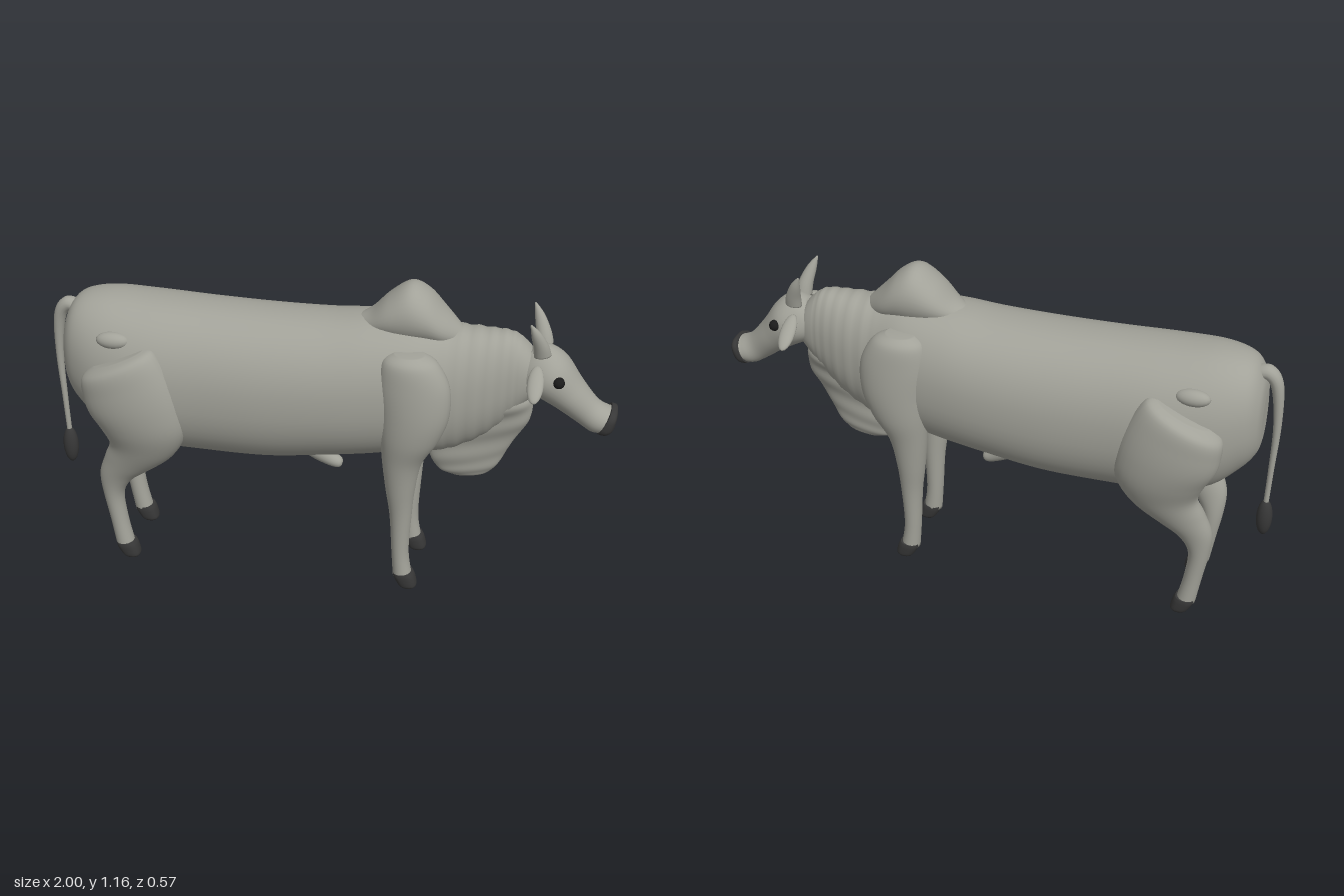
import * as THREE from 'three';

const hide = new THREE.MeshStandardMaterial({ color: 0xa2a299 });
hide.name = 'grey hide';
const dark = new THREE.MeshStandardMaterial({ color: 0x383838 });
dark.name = 'dark hoof and muzzle';
const black = new THREE.MeshStandardMaterial({ color: 0x1b1b1b });
black.name = 'black eye';

// Smooth loft through elliptical sections [x, y, z, halfWidth, halfHeight, tilt in degrees].
// The tilt is the heading in the xy plane; the width runs along z. zs = -1 mirrors.
function loft(sections, { zs = 1, sides = 32, steps = 6, power = 2, ripple = null } = {}) {
  const pos = [], index = [];
  const n = sections.length - 1;
  const at = (i) => sections[Math.max(0, Math.min(n, i))];
  const cr = (a, b, c, d, t) => b + 0.5 * t * (c - a + t * (2 * a - 5 * b + 4 * c - d + t * (3 * (b - c) + d - a)));
  const rows = n * steps;
  const shape = (v) => Math.sign(v) * Math.abs(v) ** (2 / power);
  const centres = [];
  for (let r = 0; r <= rows; r++) {
    const i = Math.min(n - 1, Math.floor(r / steps)), t = r / steps - i;
    const [x, y, z, w, h, tilt] = at(i).map((_, k) => cr(at(i - 1)[k], at(i)[k], at(i + 1)[k], at(i + 2)[k], t));
    const a = THREE.MathUtils.degToRad(tilt);
    centres.push([x, y, z * zs]);
    for (let j = 0; j < sides; j++) {
      const q = (j / sides) * Math.PI * 2;
      const k = ripple ? 1 + ripple(r / rows, q) : 1;
      const u = shape(Math.cos(q)) * w * k, v = shape(Math.sin(q)) * h * k;
      pos.push(x - Math.sin(a) * v, y + Math.cos(a) * v, z * zs + u);
    }
  }
  for (let r = 0; r < rows; r++) for (let j = 0; j < sides; j++) {
    const a = r * sides + j, b = r * sides + (j + 1) % sides;
    index.push(a, a + sides, b, b, a + sides, b + sides);
  }
  const s = pos.length / 3;
  pos.push(...centres[0], ...centres[rows]);
  for (let j = 0; j < sides; j++) {
    const k = (j + 1) % sides;
    index.push(s, j, k, s + 1, rows * sides + k, rows * sides + j);
  }
  const g = new THREE.BufferGeometry();
  g.setAttribute('position', new THREE.Float32BufferAttribute(pos, 3));
  g.setIndex(index);
  g.computeVertexNormals();
  return g;
}

export function createModel() {
  const model = new THREE.Group();
  model.name = 'humpedBull';
  const add = (name, geometry, material = hide) => {
    const m = new THREE.Mesh(geometry, material);
    m.name = name;
    model.add(m);
    return m;
  };

  // Barrel of the body running into the neck: x, top, bottom, half width
  const trunk = [
    [-0.937, 0.88, 0.7, 0.06], [-0.925, 0.95, 0.655, 0.105], [-0.88, 1.01, 0.595, 0.155],
    [-0.78, 1.033, 0.51, 0.2], [-0.62, 1.028, 0.468, 0.225], [-0.42, 1.02, 0.458, 0.225],
    [-0.2, 1.015, 0.46, 0.226], [0, 1.018, 0.485, 0.22], [0.15, 1.03, 0.505, 0.208],
    [0.3, 1.03, 0.53, 0.185], [0.42, 1.012, 0.54, 0.145], [0.54, 1.008, 0.6, 0.117],
    [0.63, 1.003, 0.68, 0.09], [0.68, 0.97, 0.74, 0.075], [0.72, 0.92, 0.79, 0.055],
  ];
  add('bodyAndNeck', loft(trunk.map(([x, t, b, w]) => [x, (t + b) / 2, 0, w, (t - b) / 2, 0]), {
    sides: 48, steps: 8, power: 2.2,
    ripple: (t) => (t > 0.72 && t < 0.9 ? 0.012 * Math.sin(t * 190) : 0),
  }));

  // Hump over the shoulders
  add('hump', loft([
    [0.1, 1.0, 0, 0.03, 0.02, 0], [0.15, 1.01, 0, 0.065, 0.04, 0], [0.21, 1.035, 0, 0.092, 0.077, 0],
    [0.28, 1.053, 0, 0.104, 0.106, 0], [0.34, 1.043, 0, 0.1, 0.092, 0], [0.4, 1.01, 0, 0.08, 0.062, 0],
    [0.47, 0.97, 0, 0.03, 0.03, 0],
  ]));

  // Loose folded skin under the throat and chest
  add('dewlap', loft([
    [0.58, 0.82, 0, 0.085, 0.09, -90], [0.575, 0.75, 0, 0.08, 0.135, -90], [0.54, 0.67, 0, 0.06, 0.163, -90],
    [0.497, 0.57, 0, 0.042, 0.15, -90], [0.488, 0.49, 0, 0.033, 0.122, -90],
    [0.483, 0.44, 0, 0.022, 0.085, -90], [0.478, 0.42, 0, 0.008, 0.03, -90],
  ], { sides: 48, steps: 8, ripple: (t, q) => 0.05 * Math.sin(t * 34 + 3 * Math.sin(q)) * Math.abs(Math.cos(q)) }));

  // Head tapering down to the muzzle
  add('head', loft([
    [0.665, 0.905, 0, 0.045, 0.06, -35], [0.7, 0.895, 0, 0.072, 0.09, -36], [0.76, 0.86, 0, 0.095, 0.088, -40],
    [0.83, 0.795, 0, 0.078, 0.066, -42], [0.895, 0.735, 0, 0.058, 0.054, -40],
    [0.94, 0.707, 0, 0.06, 0.054, -32], [0.968, 0.704, 0, 0.06, 0.049, -22],
  ]));
  add('muzzle', loft([
    [0.958, 0.706, 0, 0.062, 0.052, -24], [0.975, 0.703, 0, 0.063, 0.051, -20],
    [0.988, 0.702, 0, 0.056, 0.043, -16], [0.995, 0.702, 0, 0.042, 0.03, -12],
  ], { power: 2.8 }), dark);

  for (const zs of [1, -1]) {
    const side = zs > 0 ? 'right' : 'left';
    const opt = { zs };

    add(side + 'Horn', loft([
      [0.735, 0.95, 0.045, 0.026, 0.03, 100], [0.728, 0.99, 0.056, 0.024, 0.026, 100],
      [0.71, 1.04, 0.073, 0.016, 0.017, 112], [0.692, 1.08, 0.085, 0.003, 0.003, 118],
    ], { zs, sides: 16 }));

    // Flat drooping ear
    const ear = add(side + 'Ear', new THREE.SphereGeometry(1, 20, 12));
    ear.scale.set(0.028, 0.016, 0.072);
    ear.position.set(0.722, 0.888, zs * 0.138);
    ear.rotation.x = zs * 0.6;

    const eye = add(side + 'Eye', new THREE.SphereGeometry(0.02, 16, 12), black);
    eye.position.set(0.797, 0.873, zs * 0.084);

    // Shoulder and foreleg
    add(side + 'Foreleg', loft([
      [0.3, 0.965, 0.14, 0.04, 0.05, -90], [0.305, 0.935, 0.148, 0.063, 0.095, -90],
      [0.32, 0.85, 0.152, 0.072, 0.122, -90], [0.325, 0.74, 0.155, 0.073, 0.118, -90],
      [0.31, 0.64, 0.15, 0.07, 0.1, -90], [0.285, 0.54, 0.138, 0.06, 0.07, -90],
      [0.28, 0.42, 0.13, 0.05, 0.052, -90], [0.283, 0.3, 0.123, 0.041, 0.039, -90],
      [0.284, 0.15, 0.121, 0.035, 0.031, -90], [0.294, 0.05, 0.122, 0.035, 0.034, -80],
    ], opt));

    // Haunch and hind leg, with the slanted upper edge of the thigh
    add(side + 'HindLeg', loft([
      [-0.7, 0.87, 0.18, 0.05, 0.1, -66], [-0.7, 0.845, 0.193, 0.08, 0.145, -66],
      [-0.675, 0.77, 0.194, 0.088, 0.165, -72], [-0.65, 0.68, 0.19, 0.09, 0.17, -82],
      [-0.63, 0.59, 0.178, 0.085, 0.155, -90], [-0.645, 0.5, 0.16, 0.07, 0.118, -98],
      [-0.71, 0.42, 0.142, 0.055, 0.083, -108], [-0.758, 0.35, 0.13, 0.044, 0.06, -100],
      [-0.775, 0.27, 0.122, 0.039, 0.038, -90], [-0.763, 0.16, 0.12, 0.035, 0.032, -84],
      [-0.744, 0.05, 0.122, 0.035, 0.034, -80],
    ], opt));

    // Raised hip bone
    const hip = add(side + 'HipBone', new THREE.SphereGeometry(1, 20, 12));
    hip.scale.set(0.06, 0.03, 0.03);
    hip.position.set(-0.72, 0.925, zs * 0.168);

    // Hooves
    for (const [name, x] of [['ForeHoof', 0.296], ['HindHoof', -0.742]]) {
      add(side + name, loft([
        [x, 0.062, 0.123, 0.036, 0.035, -85], [x + 0.006, 0.045, 0.123, 0.037, 0.038, -85],
        [x + 0.018, 0.012, 0.123, 0.033, 0.034, -90], [x + 0.02, 0, 0.123, 0.026, 0.026, -90],
      ], { zs, sides: 20, power: 2.5 }), dark);
    }
  }

  // Tail with dark tuft
  add('tail', loft([
    [-0.89, 0.955, 0, 0.028, 0.028, 180], [-0.935, 0.963, 0, 0.028, 0.026, 205],
    [-0.968, 0.91, 0, 0.024, 0.021, 258], [-0.981, 0.76, 0, 0.015, 0.014, 269],
    [-0.977, 0.58, 0, 0.011, 0.01, 272], [-0.972, 0.42, 0, 0.009, 0.009, 270],
  ], { sides: 16 }));
  const tuft = add('tailTuft', new THREE.SphereGeometry(1, 20, 14), dark);
  tuft.scale.set(0.028, 0.073, 0.026);
  tuft.position.set(-0.972, 0.378, 0);

  // Sheath under the belly
  add('sheath', loft([
    [-0.1, 0.5, 0, 0.035, 0.03, -30], [-0.04, 0.465, 0, 0.036, 0.036, -35],
    [0.01, 0.432, 0, 0.028, 0.027, -30], [0.04, 0.418, 0, 0.02, 0.02, -20], [0.05, 0.415, 0, 0.008, 0.008, -15],
  ], { sides: 20 }));

  return model;
}
